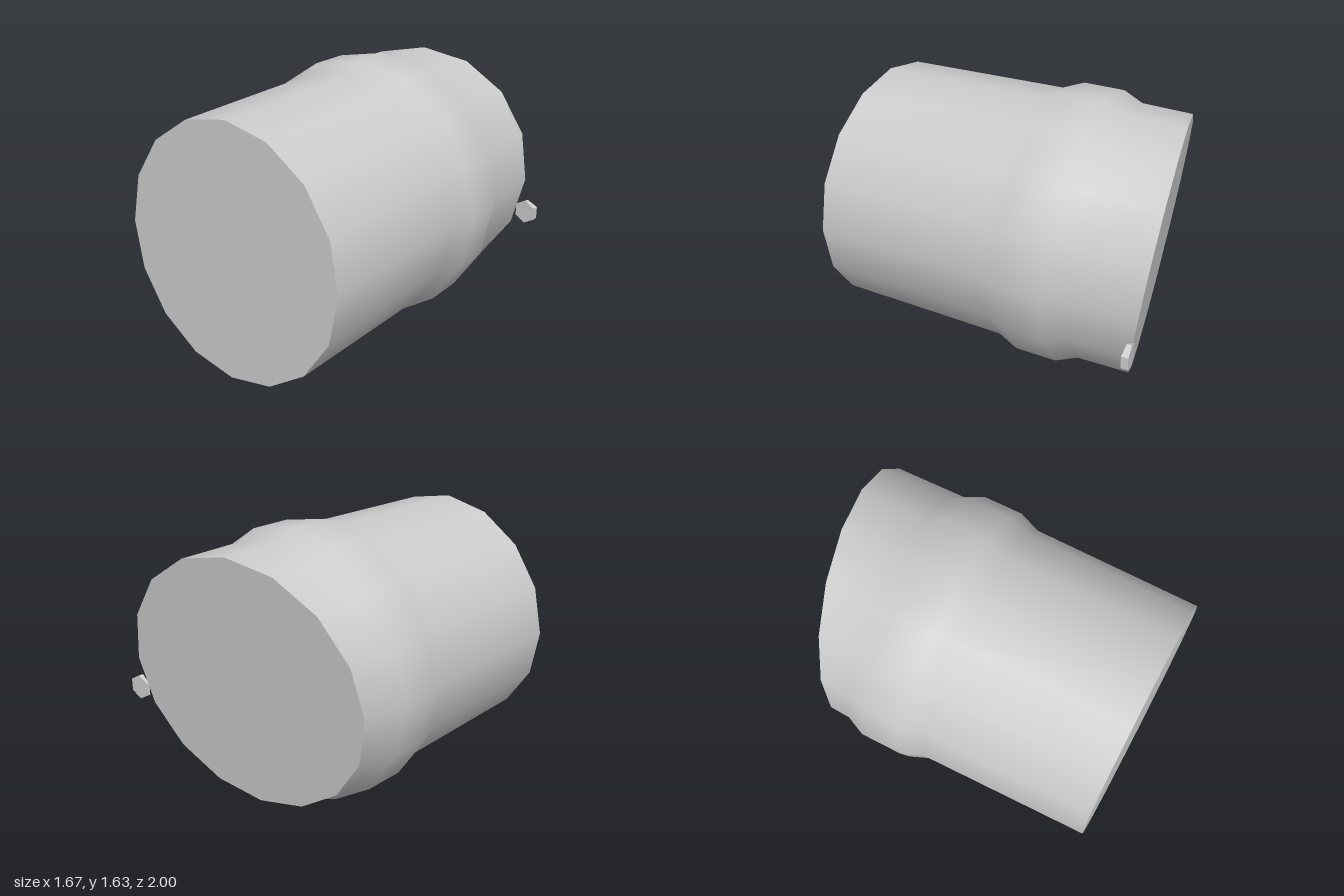
import * as THREE from 'three';

const CX = -0.022, CY = 0.817, SIDES = 16;

// Slanted end planes: z as a function of offset from the barrel axis
const frontZ = (x, y) => 0.973 + 0.028 * x - 0.026 * y;
const backZ = (x, y) => -0.832 - 0.192 * x - 0.123 * y;

// Move each vertex by a rule that returns its new z
function reshapeZ(geometry, rule) {
  const p = geometry.attributes.position;
  for (let i = 0; i < p.count; i++) p.setZ(i, rule(p.getX(i), p.getY(i), p.getZ(i)));
  return geometry;
}

export function createModel() {
  const group = new THREE.Group();
  const grey = new THREE.MeshStandardMaterial({ color: 0xcccccc });
  grey.name = 'grey';

  const add = (name, geometry, x, y, z = 0) => {
    const mesh = new THREE.Mesh(geometry, grey);
    mesh.name = name;
    mesh.position.set(x, y, z);
    group.add(mesh);
  };

  // Barrel wall with a raised band, from back to front
  const profile = [
    [0.757, -0.83], [0.763, -0.56], [0.816, -0.44], [0.816, -0.19], [0.764, -0.06], [0.75, 0.97],
  ].map(([r, z]) => new THREE.Vector2(r, z));
  const wall = new THREE.LatheGeometry(profile, SIDES).rotateX(Math.PI / 2);
  reshapeZ(wall, (x, y, z) => (z > 0.9 ? frontZ(x, y) : z < -0.8 ? backZ(x, y) : z));
  add('barrelWall', wall, CX, CY);

  // Flat end caps
  const frontCap = reshapeZ(new THREE.CircleGeometry(0.75, SIDES), frontZ);
  frontCap.computeVertexNormals();
  add('frontCap', frontCap, CX, CY);
  const backCap = reshapeZ(new THREE.CircleGeometry(0.757, SIDES).rotateY(Math.PI), backZ);
  backCap.computeVertexNormals();
  add('backCap', backCap, CX, CY);

  // Small six-sided tab beside the back end, thicker toward its outer edge
  const tab = new THREE.CylinderGeometry(0.075, 0.075, 0.03, 6).rotateX(Math.PI / 2).toNonIndexed();
  reshapeZ(tab, (x, y, z) => (z > 0 ? 0.014 + 0.07 * x : -0.014 - 0.12 * x));
  tab.computeVertexNormals();
  add('sideTab', tab, 0.767, 0.613, -0.953);

  return group;
}
